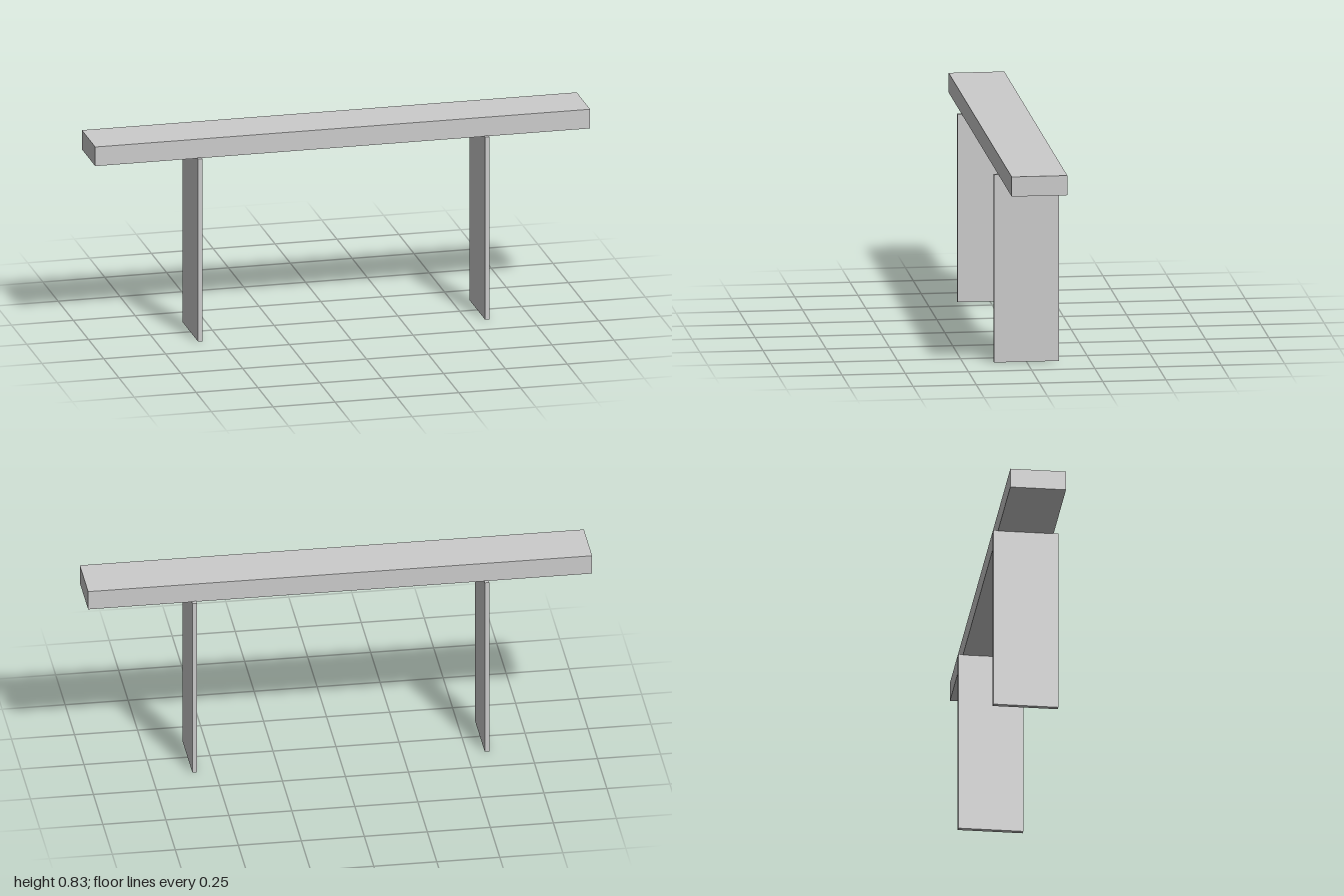
import * as THREE from 'three';

export function createModel() {
  const group = new THREE.Group();
  const material = new THREE.MeshStandardMaterial({ color: 0xcccccc, flatShading: true });

  function addBox(name, size, position) {
    const mesh = new THREE.Mesh(new THREE.BoxGeometry(...size), material);
    mesh.name = name;
    mesh.position.set(...position);
    group.add(mesh);
  }

  // Long plank
  addBox('benchTop', [2, 0.079, 0.22], [0, 0.79, 0]);

  // Thin upright panels, slightly deeper than the plank and let into its underside
  const legHeight = 0.753;
  for (const [name, x] of [['leftLeg', 0.58], ['rightLeg', -0.58]]) {
    addBox(name, [0.018, legHeight, 0.257], [x, legHeight / 2, 0]);
  }

  return group;
}
